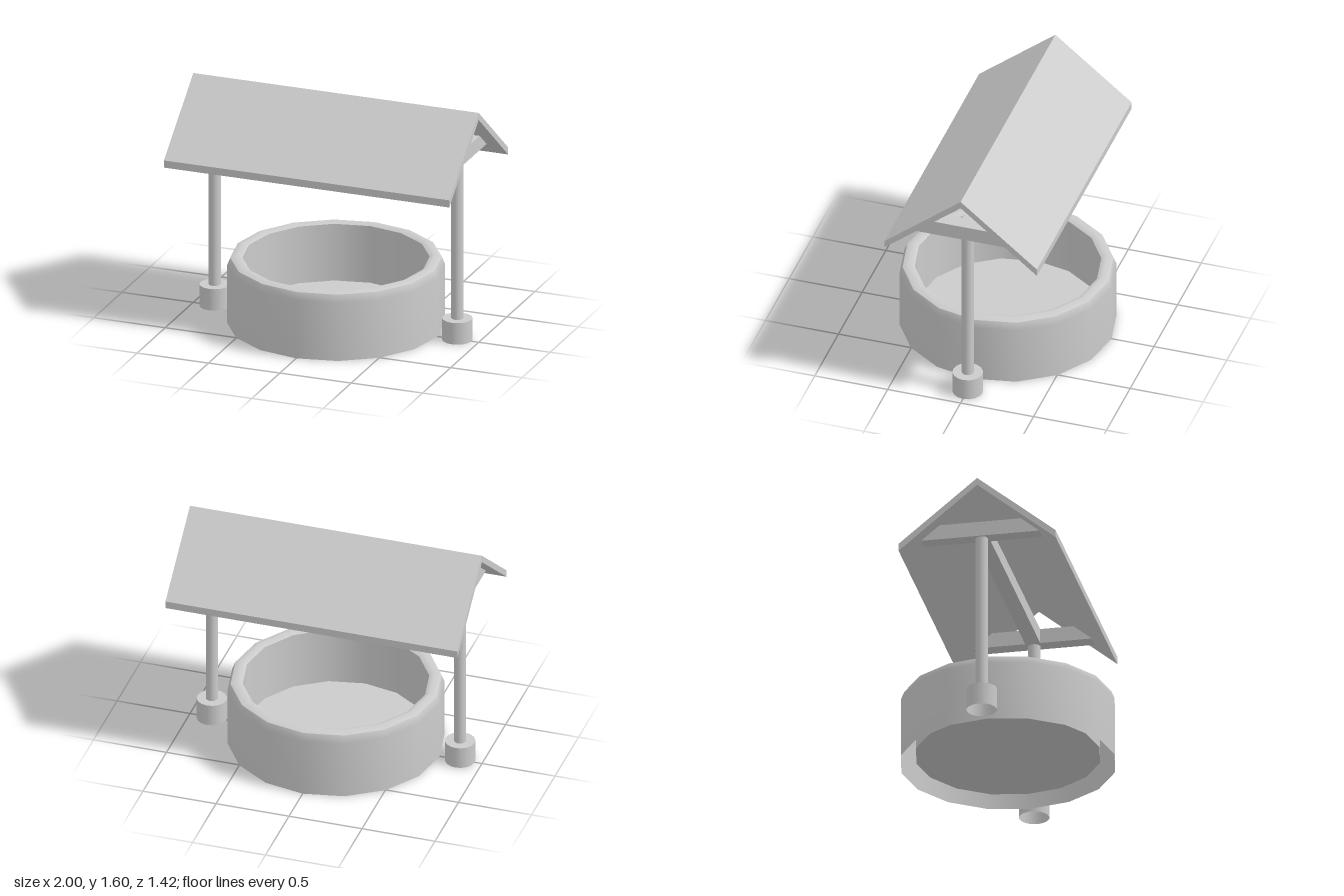
import * as THREE from 'three';

const material = new THREE.MeshStandardMaterial({ color: 0xcccccc, side: THREE.DoubleSide });

function part(name, geometry, x = 0, y = 0, z = 0) {
  const mesh = new THREE.Mesh(geometry, material);
  mesh.name = name;
  mesh.position.set(x, y, z);
  return mesh;
}

// Sixteen-sided band, smooth within itself and sharp against its neighbours
function band(name, profile) {
  return part(name, new THREE.LatheGeometry(profile.map(([r, y]) => new THREE.Vector2(r, y)), 16));
}

// Outline in the z-y plane, extruded along x and centred
function extrudeX(outline, width) {
  const shape = new THREE.Shape(outline.map(([z, y]) => new THREE.Vector2(z, y)));
  const geometry = new THREE.ExtrudeGeometry(shape, { depth: width, bevelEnabled: false });
  return geometry.translate(0, 0, -width / 2).rotateY(Math.PI / 2);
}

export function createModel() {
  const model = new THREE.Group();
  model.name = 'well';

  // Round basin, open underneath up to its raised floor
  const basin = new THREE.Group();
  basin.name = 'basin';
  basin.add(
    band('outerWall', [[0.71, 0], [0.71, 0.405], [0.69, 0.455]]),
    band('rim', [[0.69, 0.455], [0.645, 0.472], [0.61, 0.455]]),
    band('innerWall', [[0.61, 0.455], [0.61, 0.06]]),
    band('basinFloor', [[0.61, 0.06], [0, 0.06]])
  );
  model.add(basin);

  // Posts on round footings, each carrying a cross beam cut to the roof slope
  const crossBeam = extrudeX([[-0.395, 1.23], [0.395, 1.23], [0.272, 1.33], [-0.272, 1.33]], 0.1);
  for (const [side, x] of [['left', 0.85], ['right', -0.85]]) {
    const support = new THREE.Group();
    support.name = side + 'Support';
    const footing = part('footing', new THREE.CylinderGeometry(0.1, 0.1, 0.15, 16, 1, true), 0, 0.075);
    const footingTop = part('footingTop', new THREE.CircleGeometry(0.1, 16).rotateX(-Math.PI / 2), 0, 0.15);
    const post = part('post', new THREE.CylinderGeometry(0.04, 0.04, 1.08, 16, 1, true), 0, 0.69);
    support.add(footing, footingTop, post, part('crossBeam', crossBeam));
    support.position.x = x;
    model.add(support);
  }

  // Beam joining the two cross beams
  model.add(part('longBeam', new THREE.BoxGeometry(1.6, 0.1, 0.1), 0, 1.28));

  // Gabled roof with vertical eaves
  model.add(part('roof', extrudeX([
    [-0.523, 1.125], [0, 1.55], [0.523, 1.125], [0.523, 1.175], [0, 1.6], [-0.523, 1.175]
  ], 2)));

  return model;
}
